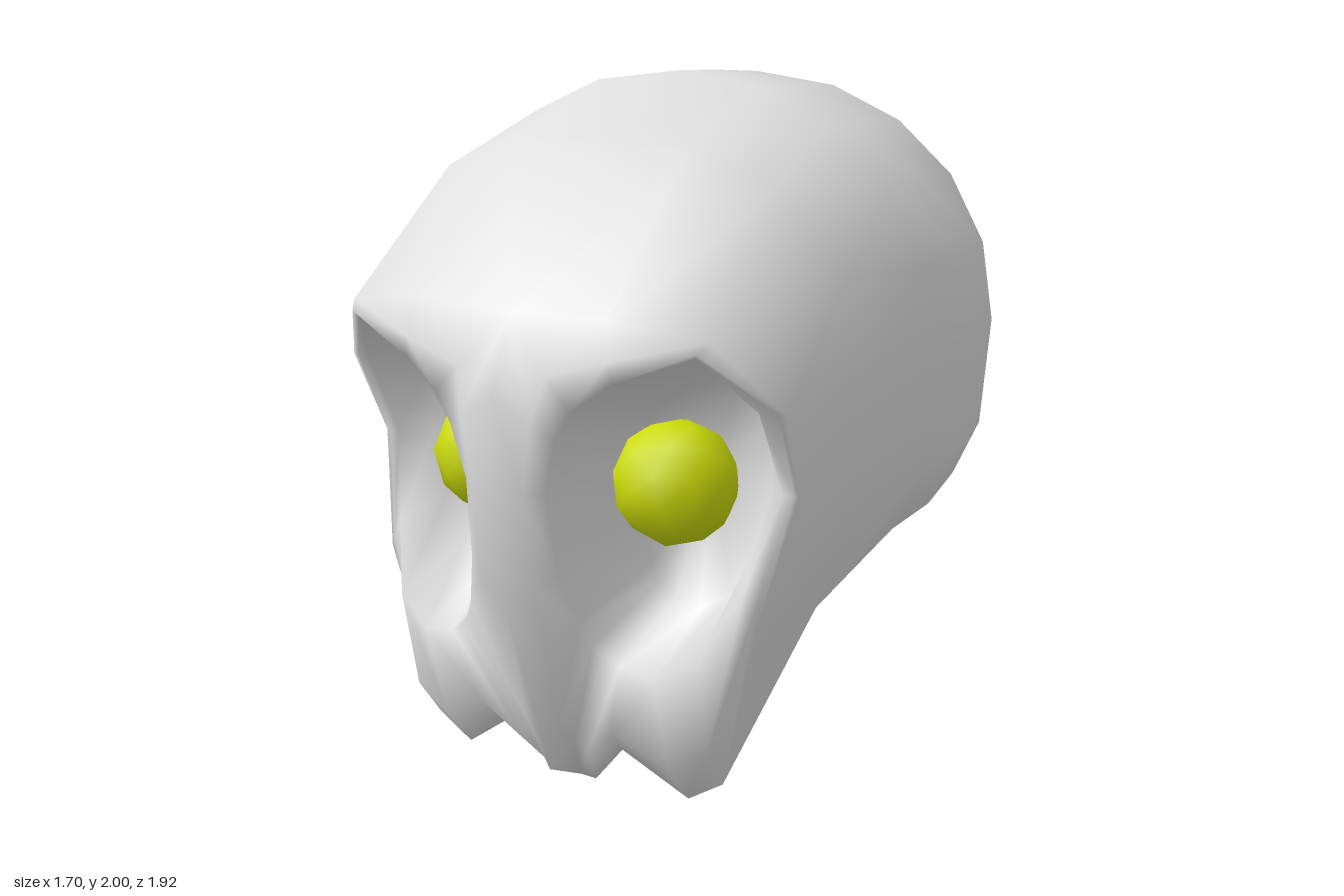
import * as THREE from 'three';
import { mergeVertices } from 'three/addons/utils/BufferGeometryUtils.js';

const SEGMENTS = 10;
const lerp = (a, b, t) => a.map((v, k) => v + (b[k] - v) * t);

// Half slice of the braincase from top centre to bottom centre, squarer below
function slice([z, top, bottom, width]) {
  const mid = (top + bottom) / 2, h = (top - bottom) / 2, pts = [];
  for (let j = 0; j <= SEGMENTS; j++) {
    const a = (j / SEGMENTS) * Math.PI, c = Math.cos(a), e = c > 0 ? 2 / 2.1 : 2 / 3;
    const x = j === 0 || j === SEGMENTS ? 0 : width * Math.pow(Math.sin(a), e);
    pts.push([x, mid + h * Math.sign(c) * Math.pow(Math.abs(c), e), z]);
  }
  return pts;
}

// Skin neighbouring rings with triangles, on both sides of x = 0
function skin(out, rings, closed) {
  const tri = (a, b, c) => {
    const same = (p, q) => p.every((v, k) => Math.abs(v - q[k]) < 1e-5);
    if (same(a, b) || same(b, c) || same(a, c)) return;
    out.push(...a, ...b, ...c);
    for (const p of [a, c, b]) out.push(-p[0], p[1], p[2]);
  };
  for (let i = 0; i < rings.length - 1; i++) {
    const p = rings[i], q = rings[i + 1], n = p.length;
    for (let j = 0; j < (closed ? n : n - 1); j++) {
      const k = (j + 1) % n;
      tri(p[j], q[j], p[k]);
      tri(p[k], q[j], q[k]);
    }
  }
}

export function createModel() {
  const bone = new THREE.MeshStandardMaterial({ color: 0xdedede });
  bone.name = 'bone grey';
  const yellow = new THREE.MeshStandardMaterial({ color: 0xcbdb0a });
  yellow.name = 'eye yellow';

  // Edge of the face: brow, temple, cheek, side tooth, notch, middle tooth
  const edge = [
    [0, 1.43, 0.87], [0.3, 1.44, 0.86], [0.57, 1.4, 0.82], [0.71, 1.2, 0.67],
    [0.69, 0.95, 0.56], [0.62, 0.62, 0.64], [0.49, 0.1, 0.6], [0.38, 0.03, 0.6],
    [0.2, 0.16, 0.66], [0.07, 0.015, 0.6], [0, 0, 0.57],
  ];
  // Nose ridge from the middle tooth up to the brow
  const ridge = [[0, 0.08, 0.73], [0, 0.62, 0.92], [0, 0.95, 0.96], [0, 1.22, 0.96]];
  // Rim of the eye socket, matched point by point to edge and ridge
  const rim = [
    [0.22, 1.2, 0.92], [0.33, 1.28, 0.9], [0.54, 1.36, 0.84], [0.64, 1.2, 0.69],
    [0.645, 0.95, 0.56], [0.58, 0.7, 0.65], [0.5, 0.52, 0.75], [0.38, 0.45, 0.79],
    [0.28, 0.47, 0.8], [0.24, 0.5, 0.81], [0.21, 0.53, 0.82], [0.18, 0.59, 0.84],
    [0.14, 0.74, 0.88], [0.13, 0.97, 0.91], [0.17, 1.12, 0.92],
  ];

  // Braincase slices: z, top, bottom, half width
  const slices = [
    [-0.96, 1.34, 1.34, 0], [-0.92, 1.49, 1.08, 0.27], [-0.85, 1.67, 0.9, 0.45],
    [-0.72, 1.83, 0.72, 0.64], [-0.47, 1.97, 0.55, 0.81], [-0.2, 1.99, 0.52, 0.85],
    [0.02, 2, 0.5, 0.835],
  ].map(slice);
  // Middle slice: forehead bulges up, cheek hollows behind the eyes
  const lift = [0.12, 0.12, 0.1, 0.05, 0.02, 0.02, 0.06, 0.07, 0.07, 0.05, 0.05];
  const widen = [1, 1, 1, 1.02, 1.03, 1.02, 0.97, 0.97, 1, 1, 1];
  const middle = edge.map((p, j) => {
    const m = lerp(slices[slices.length - 1][j], p, 0.5);
    return [m[0] * widen[j], m[1] + lift[j], m[2]];
  });

  // Face rings: outer edge, fuller jaw, brow and nose, socket rim, socket wall and back
  const outer = [...edge, ...ridge];
  const jaw = outer.map((p, j) => {
    const browOrNose = j < 3 || j > 11;
    const m = lerp(p, rim[j], browOrNose ? 0.65 : 0.3);
    return [m[0], m[1], m[2] + (browOrNose ? 0.02 : j > 5 && j < 11 ? 0.05 : 0)];
  });
  const wall = rim.map(([x, y, z]) => [
    x + (0.32 - x) * 0.22, y + (0.92 - y) * 0.25, 0.41 + z * 0.13,
  ]);
  const back = rim.map(() => [0.35, 0.92, 0.42]);

  const positions = [];
  skin(positions, [...slices, middle, edge], false);
  skin(positions, [outer, jaw, rim, wall, back], true);
  let geometry = new THREE.BufferGeometry();
  geometry.setAttribute('position', new THREE.Float32BufferAttribute(positions, 3));
  geometry = mergeVertices(geometry, 1e-4);
  geometry.computeVertexNormals();

  const group = new THREE.Group();
  group.name = 'skull';
  const head = new THREE.Mesh(geometry, bone);
  head.name = 'skullBone';
  group.add(head);

  // Eyeballs
  for (const side of [1, -1]) {
    const eye = new THREE.Mesh(new THREE.IcosahedronGeometry(0.178, 1), yellow);
    eye.name = side > 0 ? 'leftEye' : 'rightEye';
    eye.position.set(0.305 * side, 0.93, 0.54);
    eye.rotation.set(0.2, 0.3 * side, 0.2);
    group.add(eye);
  }
  return group;
}
